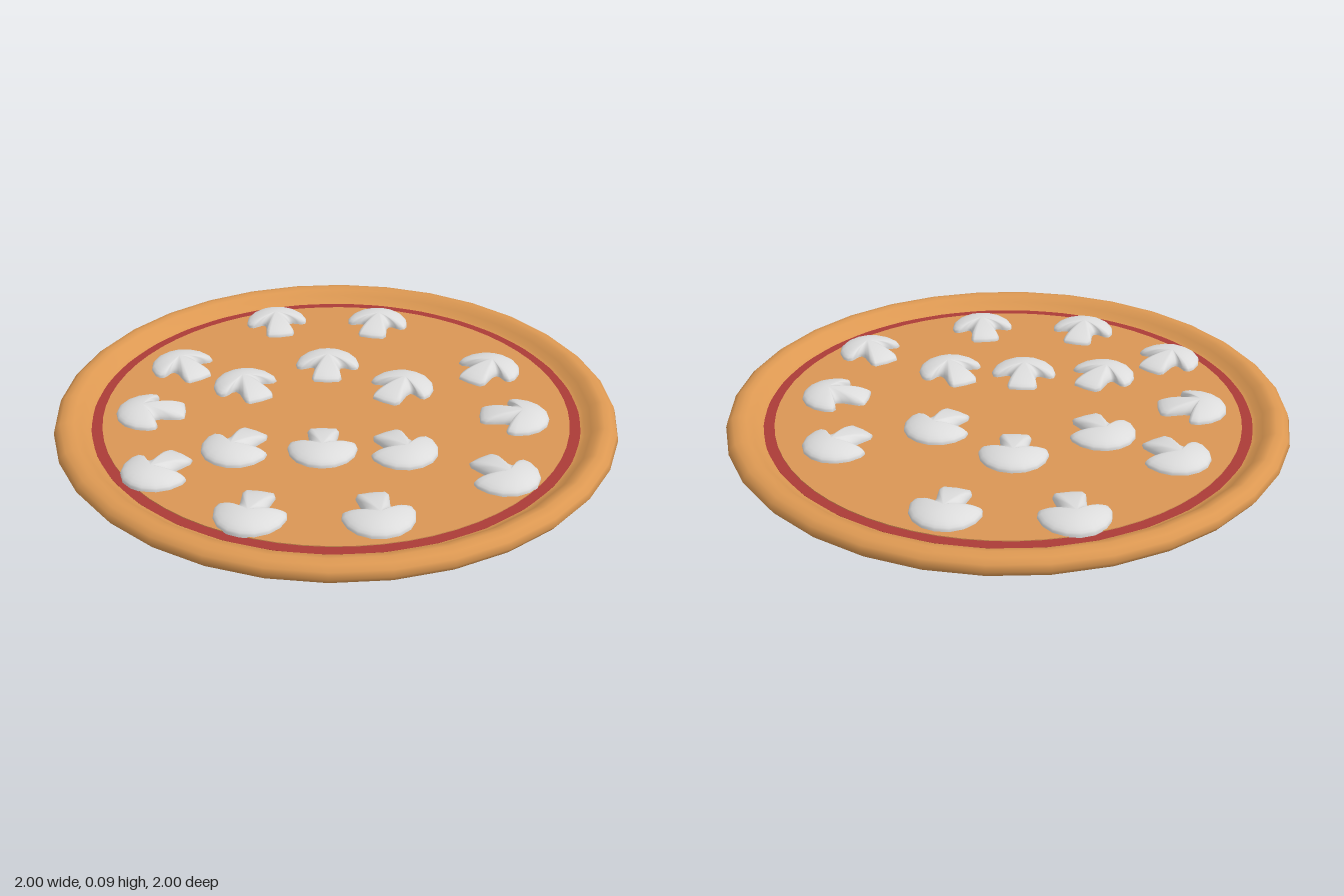
import * as THREE from 'three';

const mat = (name, color) => new THREE.MeshStandardMaterial({ name, color });

// Half outline of a mushroom slice, from cap crown to stem foot
const HALF = [
  [0, 0.123], [0.045, 0.115], [0.085, 0.088], [0.11, 0.05], [0.12, 0.005],
  [0.114, -0.02], [0.098, -0.026], [0.08, -0.019], [0.064, -0.012], [0.05, -0.014],
  [0.046, -0.035], [0.051, -0.07], [0.055, -0.1], [0.046, -0.119], [0, -0.123],
];

// Domed slice: the outline shrinks in rings towards the middle while rising
function mushroomGeometry(height) {
  const outline = [...HALF, ...HALF.slice(1, -1).reverse().map(([x, y]) => [-x, y])];
  const n = outline.length, centre = 0.03;
  const rings = [1, 0.97, 0.9, 0.78, 0.6, 0.4, 0.2];
  const pos = [], index = [];
  const ring = (t, y) => outline.forEach(([x, z]) => pos.push(x * t, y, centre + (z - centre) * t));
  ring(1, -0.004);
  rings.forEach((t) => ring(t, 0.006 + (height - 0.006) * Math.pow(1 - t * t, 0.6)));
  pos.push(0, height, centre);
  for (let r = 0; r < rings.length; r++) {
    for (let i = 0; i < n; i++) {
      const a = r * n + i, b = r * n + (i + 1) % n;
      index.push(a, b, b + n, a, b + n, a + n);
    }
  }
  const last = rings.length * n, top = last + n;
  for (let i = 0; i < n; i++) index.push(last + i, last + (i + 1) % n, top);
  const g = new THREE.BufferGeometry();
  g.setAttribute('position', new THREE.Float32BufferAttribute(pos, 3));
  g.setIndex(index);
  g.computeVertexNormals();
  return g;
}

export function createModel() {
  const group = new THREE.Group();
  group.name = 'pizza';
  const crustMat = mat('baked crust', 0xdc9852);
  const cheeseMat = mat('cheese', 0xd99655);
  const sauceMat = mat('tomato sauce', 0xab3b37);
  const mushroomMat = mat('mushroom', 0xdcdcdc);
  const add = (name, geometry, material, y = 0) => {
    const mesh = new THREE.Mesh(geometry, material);
    mesh.name = name;
    mesh.position.y = y;
    group.add(mesh);
    return mesh;
  };

  // Crust: shallow base with a rounded rim
  const profile = [
    [0, 0], [0.5, 0.003], [0.88, 0.01], [0.955, 0.017], [0.985, 0.03], [1, 0.052],
    [0.993, 0.074], [0.975, 0.088], [0.95, 0.094], [0.928, 0.089], [0.906, 0.072],
    [0.885, 0.055], [0.865, 0.047], [0.83, 0.044],
  ].map(([x, y]) => new THREE.Vector2(x, y));
  add('crust', new THREE.LatheGeometry(profile, 32), crustMat);

  // Sauce showing as a ring around the cheese
  add('sauce', new THREE.CylinderGeometry(0.87, 0.87, 0.006, 64), sauceMat, 0.047);
  add('cheese', new THREE.CylinderGeometry(0.832, 0.832, 0.006, 64), cheeseMat, 0.05);

  // Mushroom slices: x, z, then the direction the cap points in x, z
  const slices = [
    [-0.255, -0.675, -0.2, -1], [0.15, -0.675, 0.2, -1],
    [-0.04, -0.315, 0, -1], [-0.585, -0.295, -0.61, -0.79],
    [-0.335, -0.15, -0.52, -0.85], [0.235, -0.15, 0.52, -0.85],
    [0.565, -0.295, 0.61, -0.79], [-0.66, 0.05, -1, 0.1],
    [0.635, 0.055, 1, 0.1], [-0.585, 0.43, -0.61, 0.79],
    [-0.335, 0.28, -0.52, 0.85], [-0.04, 0.275, 0, 1],
    [0.235, 0.28, 0.52, 0.85], [0.565, 0.43, 0.61, 0.79],
    [-0.255, 0.67, -0.2, 1], [0.15, 0.67, 0.2, 1],
  ];
  const slice = mushroomGeometry(0.041);
  slices.forEach(([x, z, dx, dz]) => {
    const m = add('mushroomSlice', slice, mushroomMat);
    m.position.set(x, 0.053, z);
    m.rotation.y = Math.atan2(dx, dz);
  });
  return group;
}
